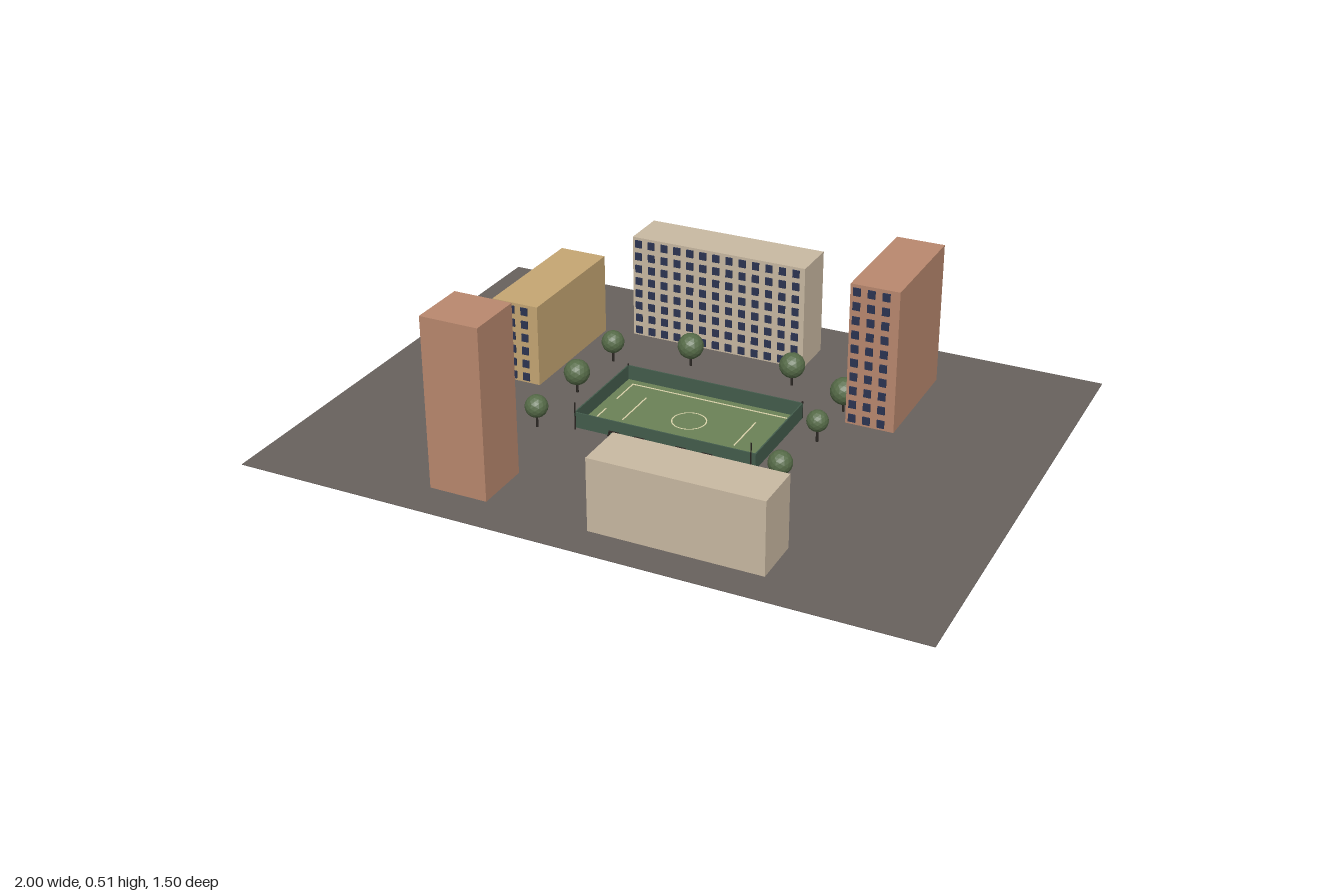
import * as THREE from 'three';
import { mergeGeometries } from 'three/addons/utils/BufferGeometryUtils.js';

function material(name, color, extra = {}) {
  const m = new THREE.MeshStandardMaterial({ color, ...extra });
  m.name = name;
  return m;
}

export function createModel() {
  const mats = {
    asphalt: material('asphalt', 0x68615d),
    beige: material('beige plaster', 0xc9b9a2),
    brick: material('brick', 0xb9886e),
    ochre: material('ochre plaster', 0xc5a673),
    glass: material('window glass', 0x2b3452),
    grass: material('pitch green', 0x6b8257),
    line: material('pitch lines', 0xdcd5ac),
    fence: material('fence green', 0x435c4c),
    leaf: material('foliage', 0x566b48, { flatShading: true }),
    dark: material('dark metal and wood', 0x2c2824),
  };
  const root = new THREE.Group();
  root.name = 'courtyard';

  const add = (parent, name, geo, mat, x = 0, y = 0, z = 0) => {
    const mesh = new THREE.Mesh(geo, mat);
    mesh.name = name;
    mesh.position.set(x, y, z);
    parent.add(mesh);
    return mesh;
  };
  const group = (name, x = 0, z = 0) => {
    const g = new THREE.Group();
    g.name = name;
    g.position.set(x, 0, z);
    root.add(g);
    return g;
  };
  const box = (w, h, d) => new THREE.BoxGeometry(w, h, d);

  add(root, 'ground', box(2, 0.002, 1.5), mats.asphalt, 0, 0.001, 0);

  // Apartment blocks: windows only on the side facing the courtyard
  const step = 0.0435;
  function building(name, x, z, w, h, d, mat, turned) {
    const g = group(name, x, z);
    if (turned) g.rotation.y = Math.PI;
    add(g, 'walls', box(w, h, d), mat, 0, h / 2, 0);
    const cols = Math.floor(w / step), rows = Math.round(h / 0.044), panes = [];
    for (let r = 0; r < rows; r++) {
      for (let c = 0; c < cols; c++) {
        panes.push(box(0.022, 0.024, 0.006)
          .translate(-w / 2 + 0.02 + c * step, (r + 0.5) * h / rows, d / 2 + 0.001));
      }
    }
    add(g, 'windows', mergeGeometries(panes), mats.glass);
  }
  building('longBackBlock', -0.125, -0.528, 0.57, 0.33, 0.145, mats.beige, false);
  building('ochreBlock', -0.575, -0.228, 0.15, 0.255, 0.42, mats.ochre, false);
  building('brickBlock', 0.475, -0.377, 0.146, 0.437, 0.37, mats.brick, false);
  building('brickTower', -0.378, 0.548, 0.174, 0.51, 0.172, mats.brick, true);
  building('lowFrontBlock', 0.27, 0.573, 0.5, 0.218, 0.15, mats.beige, true);

  // Sports pitch with painted markings
  const pitch = group('pitch');
  add(pitch, 'turf', box(0.56, 0.004, 0.33), mats.grass, 0, 0.003, 0);
  const paint = (x, z, w, d) =>
    add(pitch, 'marking', box(w, 0.002, d), mats.line, x, 0.0055, z);
  for (const s of [-1, 1]) {
    paint(0, s * 0.137, 0.504, 0.004);
    paint(s * 0.175, 0, 0.004, 0.15);
    for (const t of [-1, 1]) paint(s * 0.25, t * 0.086, 0.004, 0.105);
  }
  const circle = add(pitch, 'centreCircle', new THREE.RingGeometry(0.048, 0.052, 40),
    mats.line, 0, 0.0065, 0);
  circle.rotation.x = -Math.PI / 2;

  // Fence panels and corner posts
  const fence = group('fence');
  for (const s of [-1, 1]) {
    add(fence, 'longPanel', box(0.56, 0.05, 0.004), mats.fence, 0, 0.025, s * 0.165);
    add(fence, 'endPanel', box(0.004, 0.05, 0.33), mats.fence, s * 0.28, 0.025, 0);
  }
  for (const s of [-1, 1]) {
    add(fence, 'cornerPost', new THREE.CylinderGeometry(0.0025, 0.0025, 0.055, 6),
      mats.dark, s * 0.28, 0.0275, -0.165);
    add(fence, 'lampPost', new THREE.CylinderGeometry(0.002, 0.002, 0.088, 6),
      mats.dark, s * 0.272, 0.044, 0.178);
  }

  // Small benches beside the pitch
  for (const x of [-0.15, -0.07, 0.06, 0.14]) {
    const bench = group('bench', x, 0.182);
    add(bench, 'seat', box(0.032, 0.002, 0.01), mats.dark, 0, 0.012, 0);
    add(bench, 'backrest', box(0.032, 0.006, 0.002), mats.dark, 0, 0.02, -0.005);
    for (const s of [-1, 1]) add(bench, 'leg', box(0.002, 0.022, 0.008), mats.dark, s * 0.012, 0.011, -0.001);
  }

  // Trees: x, z, crown radius
  const trees = [
    [-0.378, -0.255, 0.035], [-0.153, -0.33, 0.04], [0.173, -0.342, 0.039],
    [0.372, -0.253, 0.041], [0.372, -0.053, 0.032], [-0.378, -0.028, 0.039],
    [-0.378, 0.21, 0.034], [0.372, 0.21, 0.035],
  ];
  for (const [x, z, r] of trees) {
    const tree = group('tree', x, z);
    add(tree, 'trunk', new THREE.CylinderGeometry(0.003, 0.004, 0.05, 6), mats.dark, 0, 0.025, 0);
    add(tree, 'crown', new THREE.IcosahedronGeometry(r, 2), mats.leaf, 0, 0.068, 0);
  }
  return root;
}
